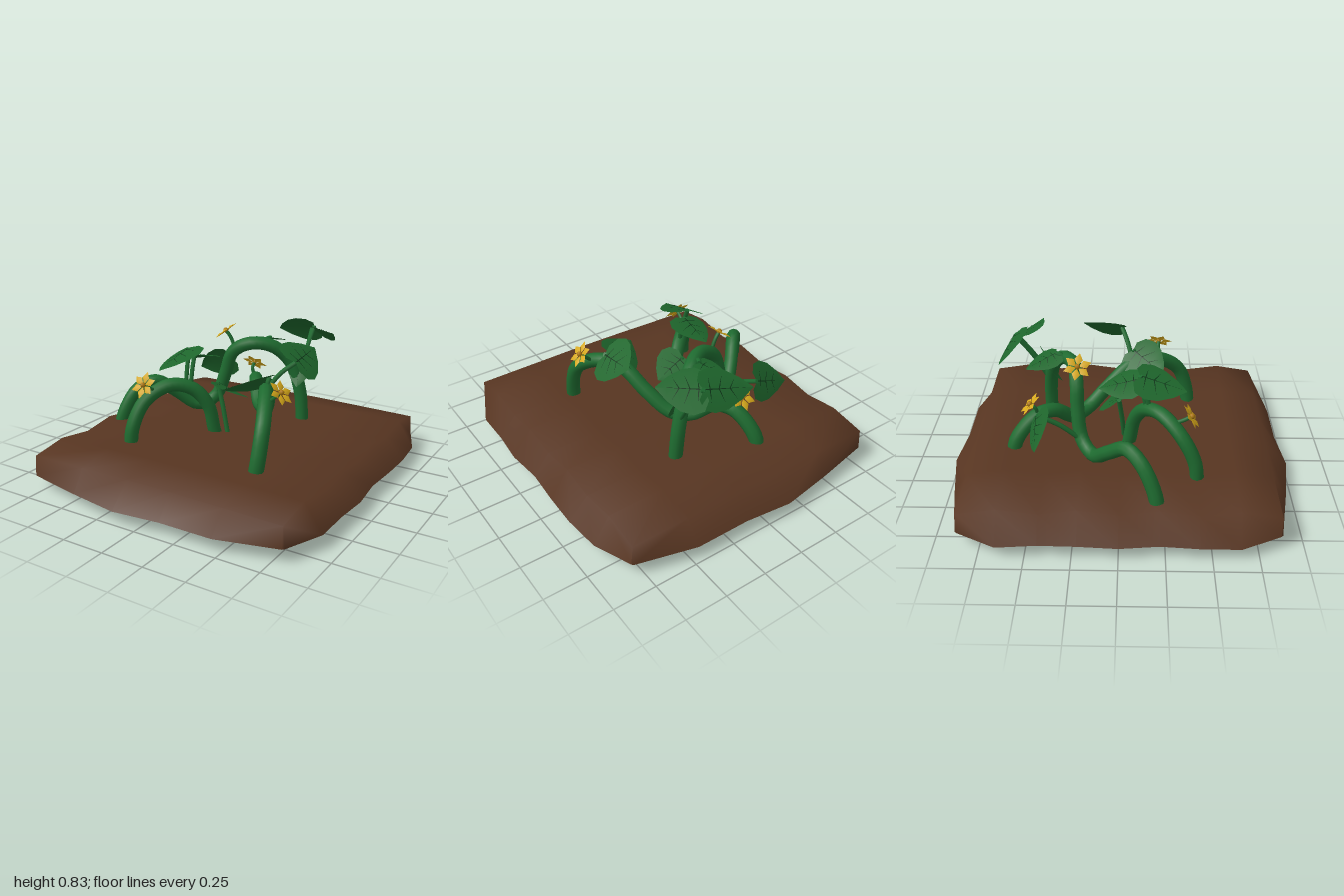
import * as THREE from 'three';

const mat = (name, color) => Object.assign(new THREE.MeshStandardMaterial({ color, side: THREE.DoubleSide }), { name });
const soilBrown = mat('soilBrown', 0x573521);
const vineGreen = mat('vineGreen', 0x1e6b30);
const leafGreen = mat('leafGreen', 0x1e662c);
const veinGreen = mat('veinGreen', 0x0d3517);
const petalYellow = mat('petalYellow', 0xd6a81a);
const centreOrange = mat('centreOrange', 0xb07a12);

const V = (a) => new THREE.Vector3(...a);

function mesh(name, geometry, material) {
  const m = new THREE.Mesh(geometry, material);
  m.name = name;
  return m;
}

function indexed(points, index) {
  const g = new THREE.BufferGeometry();
  g.setAttribute('position', new THREE.Float32BufferAttribute(points.flat(), 3));
  g.setIndex(index);
  g.computeVertexNormals();
  return g;
}

// Ridged bed: a hollow sheet whose border rows drop to form the skirt
function soil() {
  const xs = [-0.91, -0.8, -0.45, -0.14, 0.14, 0.46, 0.8, 0.91];
  const zs = [-0.97, -0.87, -0.65, -0.43, -0.22, 0, 0.22, 0.43, 0.65, 0.87, 0.97];
  const points = [], index = [];
  zs.forEach((z0, j) => xs.forEach((x0, i) => {
    const endX = i === 0 || i === 7, endZ = j === 0 || j === 10;
    let x = x0, z = z0, y = 0.08;
    if (endX && (j <= 1 || j >= 9)) { x = Math.sign(x) * 0.81; z = Math.sign(z) * 0.87; }
    else if (endZ && (i === 1 || i === 6)) z = Math.sign(z) * 0.88;
    else if (endX) x += Math.sin(j * 2.3) * 0.012;
    else if (endZ) z += Math.sign(z) * (i === 3 ? 0.03 : i === 2 ? -0.02 : 0);
    if (!endX && !endZ) {
      const ridge = Math.abs(z) > 0.8 ? 0 : j % 2 === 0 ? 0.035 : 0.005;
      y = 0.2 + ridge + 0.012 * (1 - Math.abs(x) / 0.8);
    }
    points.push([x, y, z]);
    if (i < 7 && j < 10) {
      const a = j * 8 + i, b = a + 8;
      index.push(a, b, a + 1, b, b + 1, a + 1);
    }
  }));
  return mesh('soilBed', indexed(points, index), soilBrown);
}

// Round stem through points, closed with discs
function stem(name, path, radius, sides = 10) {
  const group = new THREE.Group();
  group.name = name;
  const curve = new THREE.CatmullRomCurve3(path.map(V));
  group.add(mesh(name + 'Tube', new THREE.TubeGeometry(curve, path.length * 4, radius, sides), vineGreen));
  for (const t of [0, 1]) {
    const cap = mesh(name + 'End', new THREE.CircleGeometry(radius, sides), vineGreen);
    const p = curve.getPoint(t);
    cap.position.copy(p);
    cap.lookAt(p.clone().addScaledVector(curve.getTangent(t), t ? 1 : -1));
    group.add(cap);
  }
  return group;
}

// Heart-shaped blade folded along its midrib; length runs along +y, face is +z
const FOLD = 0.16;
function leafBlade() {
  const rows = [[0, 0.2, -0.1], [0.15, 0.42, -0.02], [0.35, 0.5, 0.2], [0.55, 0.44, 0.47], [0.78, 0.25, 0.76], [1, 0.01, 1]];
  const points = [], index = [];
  rows.forEach(([mid, w, edge], i) => {
    points.push([-w, edge, -FOLD * w], [0, mid, 0], [w, edge, -FOLD * w]);
    if (i < rows.length - 1) {
      for (const a of [i * 3, i * 3 + 1]) index.push(a, a + 1, a + 3, a + 1, a + 4, a + 3);
    }
  });
  return indexed(points, index);
}

// Thin tapering veins lying just above the blade
function leafVeins() {
  const points = [], index = [];
  const add = (...tri) => tri.forEach(([x, y]) => {
    index.push(points.length);
    points.push([x, y, 0.015 - FOLD * Math.abs(x)]);
  });
  for (const s of [-1, 1]) {
    add([0, 0.02], [s * 0.014, 0.02], [0, 0.92]);
    for (const [y, x, tipY] of [[0.1, 0.3, 0.13], [0.28, 0.34, 0.42], [0.5, 0.24, 0.66]]) {
      add([0, y], [0, y + 0.026], [s * x, tipY]);
    }
  }
  return indexed(points, index);
}

const bladeGeometry = leafBlade(), veinGeometry = leafVeins();

function leaf(base, tip, facing, width) {
  const group = new THREE.Group();
  group.name = 'leaf';
  const along = V(tip).sub(V(base)), length = along.length();
  along.normalize();
  const across = along.clone().cross(V(facing)).normalize();
  const normal = across.clone().cross(along);
  group.quaternion.setFromRotationMatrix(new THREE.Matrix4().makeBasis(across, along, normal));
  group.position.set(...base);
  group.scale.set(width, length, length);
  group.add(mesh('leafBlade', bladeGeometry, leafGreen), mesh('leafVeins', veinGeometry, veinGreen));
  return group;
}

// Six pointed petals around a small domed centre, facing +z
const petalGeometry = indexed(
  [[0, 0.008, 0], [0.024, 0.045, 0.004], [0, 0.045, 0.014], [-0.024, 0.045, 0.004], [0, 0.083, 0.004]],
  [0, 1, 2, 0, 2, 3, 1, 4, 2, 2, 4, 3]);
const centreGeometry = new THREE.SphereGeometry(0.016, 8, 6);

function flower(position, facing) {
  const group = new THREE.Group();
  group.name = 'flower';
  for (let i = 0; i < 6; i++) {
    const petal = mesh('petal', petalGeometry, petalYellow);
    petal.rotation.z = i * Math.PI / 3;
    group.add(petal);
  }
  const centre = mesh('flowerCentre', centreGeometry, centreOrange);
  centre.position.z = 0.008;
  group.add(centre);
  group.position.set(...position);
  group.quaternion.setFromUnitVectors(new THREE.Vector3(0, 0, 1), V(facing).normalize());
  return group;
}

export function createModel() {
  const model = new THREE.Group();
  model.name = 'vinePatch';
  model.add(soil());

  // Looping vines
  model.add(
    stem('leftVine', [[-0.73, 0.12, 0.22], [-0.7, 0.28, 0.19], [-0.64, 0.42, 0.12], [-0.56, 0.465, 0.04], [-0.47, 0.38, -0.06],
      [-0.37, 0.29, -0.15], [-0.28, 0.34, -0.22], [-0.22, 0.5, -0.245], [-0.17, 0.64, -0.25], [-0.06, 0.705, -0.27],
      [0.06, 0.69, -0.34], [0.15, 0.59, -0.41], [0.21, 0.4, -0.44], [0.235, 0.13, -0.44]], 0.041),
    stem('rightVine', [[0.38, 0.12, 0.43], [0.4, 0.3, 0.41], [0.39, 0.45, 0.35], [0.32, 0.55, 0.2], [0.25, 0.55, 0.07],
      [0.18, 0.43, -0.08], [0.09, 0.32, -0.21], [0, 0.32, -0.29], [-0.08, 0.41, -0.39], [-0.14, 0.41, -0.49],
      [-0.2, 0.28, -0.61], [-0.22, 0.12, -0.64]], 0.043),
    stem('frontVine', [[-0.46, 0.12, 0.44], [-0.45, 0.3, 0.42], [-0.41, 0.45, 0.34], [-0.31, 0.53, 0.23], [-0.21, 0.5, 0.14],
      [-0.14, 0.39, 0.08], [-0.115, 0.22, 0.05], [-0.08, 0.1, 0.02], [-0.02, 0.03, 0]], 0.041));

  // Leaves: base, tip, facing, width, foot of the leaf stalk
  const leaves = [
    [[0.2, 0.77, -0.64], [-0.08, 0.71, -0.7], [-0.1, 0.6, -0.7], 0.24, [0.2, 0.48, -0.44]],
    [[0.19, 0.76, -0.63], [0.4, 0.78, -0.49], [0.1, 0.8, -0.5], 0.27, [0.21, 0.45, -0.44]],
    [[0.2, 0.65, -0.47], [0.22, 0.44, -0.37], [0.2, 0.4, 0.8], 0.2, [0.2, 0.46, -0.44]],
    [[0.4, 0.72, 0], [0.4, 0.75, -0.24], [0.65, 0.75, 0], 0.28, [0.25, 0.55, 0.07]],
    [[0.27, 0.63, 0.07], [0.07, 0.57, 0.25], [-0.25, 0.8, -0.45], 0.26, [0.27, 0.55, 0.1]],
    [[-0.32, 0.52, -0.47], [-0.55, 0.43, -0.46], [-0.1, 0.5, -0.85], 0.24, [-0.29, 0.34, -0.22]],
    [[0.03, 0.73, -0.38], [-0.06, 0.67, -0.55], [-0.3, 0.8, -0.45], 0.19, [0, 0.68, -0.31]],
    [[-0.25, 0.74, 0.11], [-0.28, 0.66, 0.37], [-0.3, 0.9, 0.2], 0.27, [-0.24, 0.51, 0.17]],
    [[-0.22, 0.7, 0.1], [-0.22, 0.64, -0.12], [-0.2, 0.9, -0.3], 0.25, [-0.22, 0.5, 0.15]],
    [[-0.13, 0.51, -0.01], [0.07, 0.44, -0.04], [0, 0.9, -0.35], 0.26, [-0.04, 0.2, 0.02]],
  ];
  for (const [base, tip, facing, width, foot] of leaves) {
    const middle = foot.map((v, i) => (v + base[i]) / 2 + (i === 1 ? 0.02 : 0));
    model.add(leaf(base, tip, facing, width), stem('leafStalk', [foot, middle, base], 0.014, 6));
  }

  // Flowers: position, facing, foot of the flower stalk
  const flowers = [
    [[-0.38, 0.56, 0.39], [-0.05, 0.55, 0.85], [-0.36, 0.5, 0.29]],
    [[0.43, 0.61, 0.23], [0.75, 0.65, 0.1], [0.34, 0.53, 0.23]],
    [[-0.21, 0.77, -0.24], [-0.6, 0.75, 0.1], [-0.15, 0.66, -0.25]],
    [[-0.17, 0.5, -0.52], [-0.05, 0.7, -0.7], [-0.14, 0.41, -0.49]],
  ];
  for (const [position, facing, foot] of flowers) {
    const under = V(position).addScaledVector(V(facing).normalize(), -0.04).toArray();
    model.add(flower(position, facing), stem('flowerStalk', [foot, under, position], 0.011, 6));
  }
  return model;
}
